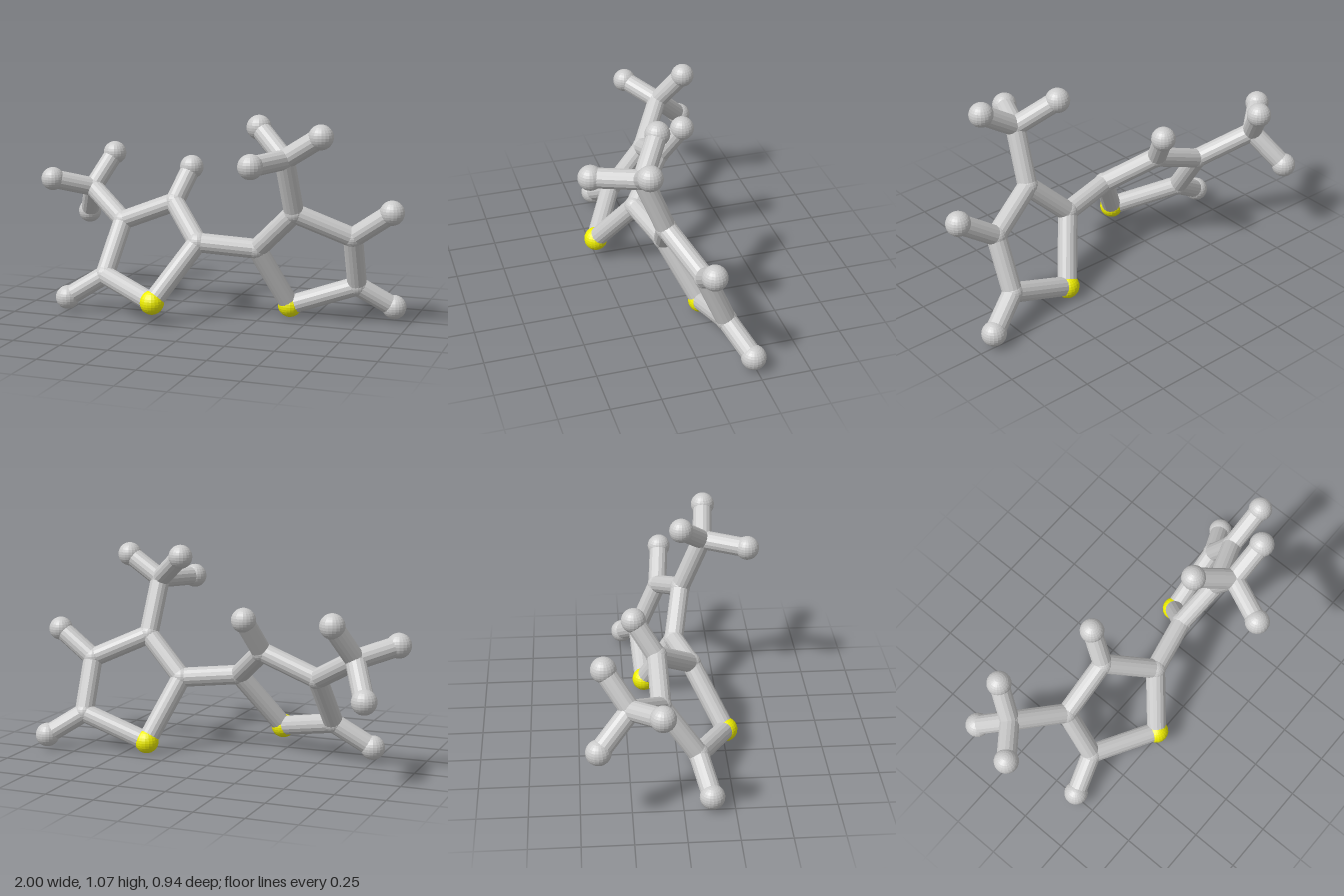
import * as THREE from 'three';

const BALL = 0.062, JOINT = 0.054, STICK = 0.05;

// Atom centres: c = ring or branch joint, h = end ball, s = yellow ball
const ATOMS = {
  // left ring
  sA: [-0.225, 0.115, 0.25],
  cA2: [-0.04, 0.405, 0.085],
  cA3: [-0.235, 0.57, -0.1],
  cA4: [-0.525, 0.455, -0.095],
  cA5: [-0.555, 0.195, 0.085],
  hA3: [-0.18, 0.742, -0.21],
  hA5: [-0.746, 0.073, 0.137],
  // left three-way branch
  cAm: [-0.765, 0.595, -0.25],
  hAm1: [-0.938, 0.652, -0.11],
  hAm2: [-0.687, 0.77, -0.37],
  hAm3: [-0.858, 0.43, -0.405],
  // right ring
  sB: [0.385, 0.062, -0.137],
  cB2: [0.255, 0.38, 0.018],
  cB3: [0.463, 0.585, 0.068],
  cB4: [0.737, 0.46, -0.04],
  cB5: [0.735, 0.188, -0.155],
  hB4: [0.936, 0.6, -0.02],
  hB5: [0.91, 0.072, -0.237],
  // right three-way branch
  cBm: [0.445, 0.868, 0.18],
  hBm1: [0.275, 1.003, 0.058],
  hBm2: [0.63, 0.987, 0.197],
  hBm3: [0.345, 0.86, 0.408],
};

const BONDS = [
  ['cA2', 'cB2'],
  // the same pattern of sticks on both rings
  ...['A', 'B'].flatMap((r) => [
    ['s', '2'], ['2', '3'], ['3', '4'], ['4', '5'], ['5', 's'],
  ].map((pair) => pair.map((k) => (k === 's' ? `s${r}` : `c${r}${k}`)))),
  ...['A', 'B'].flatMap((r) => [1, 2, 3].map((i) => [`c${r}m`, `h${r}m${i}`])),
  ['cA4', 'cAm'], ['cB3', 'cBm'],
  ['cA3', 'hA3'], ['cA5', 'hA5'], ['cB4', 'hB4'], ['cB5', 'hB5'],
];

export function createModel() {
  const model = new THREE.Group();
  model.name = 'moleculeModel';
  const grey = new THREE.MeshStandardMaterial({ color: 0xcccccc, flatShading: true });
  const yellow = new THREE.MeshStandardMaterial({ color: 0xf0f000, flatShading: true });
  const point = (key) => new THREE.Vector3(...ATOMS[key]);

  // Balls
  const ballGeometry = new THREE.SphereGeometry(BALL, 20, 14);
  const jointGeometry = new THREE.SphereGeometry(JOINT, 20, 14);
  const kinds = {
    c: ['carbonJoint', jointGeometry, grey],
    h: ['hydrogenBall', ballGeometry, grey],
    s: ['sulfurBall', ballGeometry, yellow],
  };
  for (const key of Object.keys(ATOMS)) {
    const [name, geometry, material] = kinds[key[0]];
    const ball = new THREE.Mesh(geometry, material);
    ball.name = name;
    ball.position.copy(point(key));
    model.add(ball);
  }

  // Sticks, open because both ends are buried in balls
  const up = new THREE.Vector3(0, 1, 0);
  for (const [from, to] of BONDS) {
    const a = point(from), b = point(to);
    const direction = b.clone().sub(a);
    const stick = new THREE.Mesh(
      new THREE.CylinderGeometry(STICK, STICK, direction.length(), 16, 1, true), grey);
    stick.name = 'bondStick';
    stick.position.copy(a).lerp(b, 0.5);
    stick.quaternion.setFromUnitVectors(up, direction.normalize());
    model.add(stick);
  }
  return model;
}
